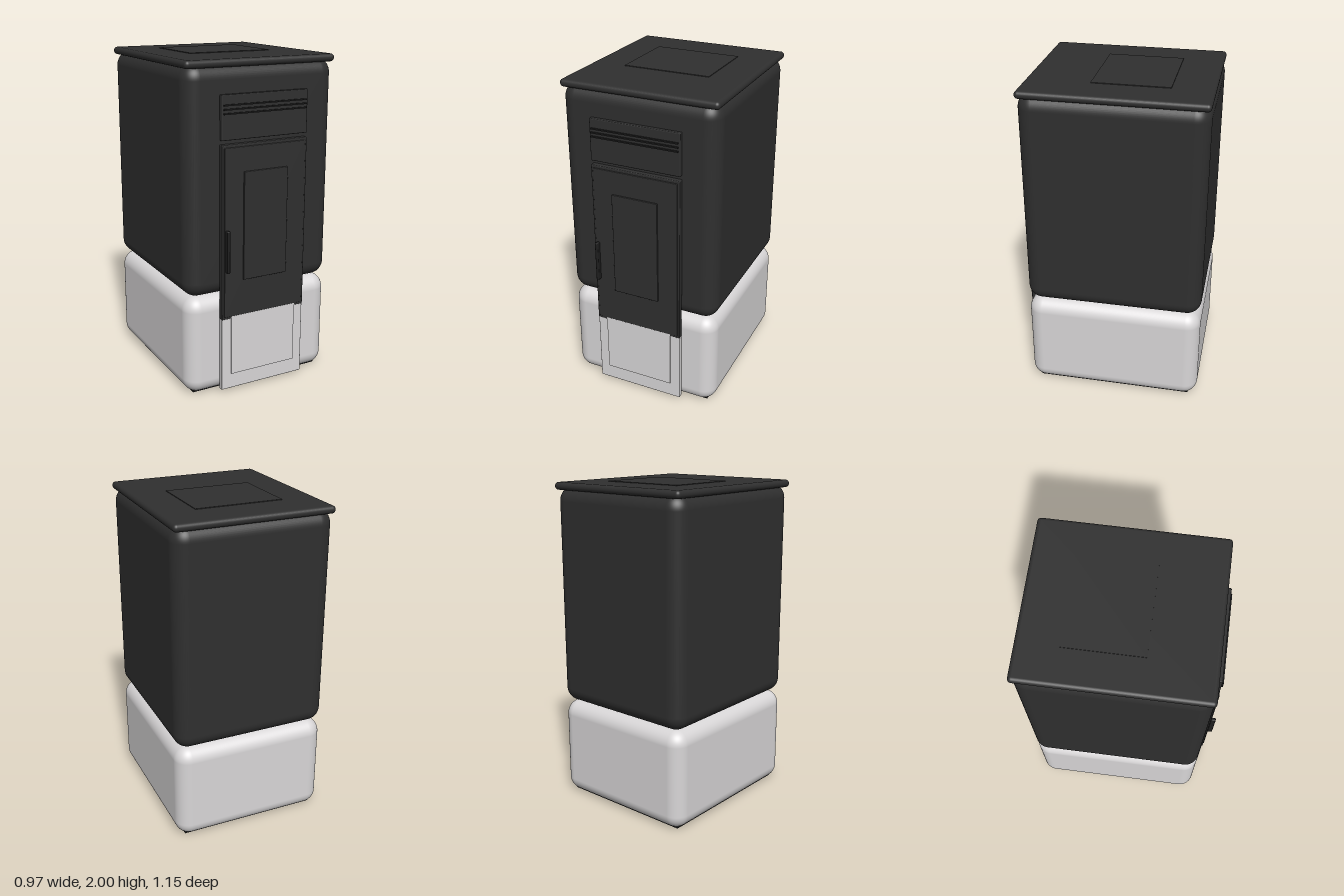
import * as THREE from 'three';
import { RoundedBoxGeometry } from 'three/addons/geometries/RoundedBoxGeometry.js';

const material = (name, color) => {
  const m = new THREE.MeshStandardMaterial({ color });
  m.name = name;
  return m;
};

export function createModel() {
  const group = new THREE.Group();
  group.name = 'pedestalStove';
  const charcoal = material('charcoal', 0x2f2f2f);
  const paleGrey = material('paleGrey', 0xd8d6d7);
  const black = material('black', 0x1e1e1e);

  // Adds a box given by its extents; a radius rounds all its edges
  function block(name, mat, [x0, x1], [y0, y1], [z0, z1], radius = 0, segments = 2) {
    const size = [x1 - x0, y1 - y0, z1 - z0];
    const geometry = radius
      ? new RoundedBoxGeometry(...size, segments, radius)
      : new THREE.BoxGeometry(...size);
    const mesh = new THREE.Mesh(geometry, mat);
    mesh.name = name;
    mesh.position.set((x0 + x1) / 2, (y0 + y1) / 2, (z0 + z1) / 2);
    group.add(mesh);
  }

  // Soft-edged body in two sections
  const width = [-0.487, 0.487], depth = [-0.577, 0.51];
  block('upperBody', charcoal, width, [0.62, 1.975], depth, 0.09, 8);
  block('lowerBody', paleGrey, width, [0, 0.62], depth, 0.09, 8);
  block('footPlate', black, [-0.435, 0.435], [0.001, 0.02], [-0.522, 0.455]);

  // Lid with a raised top plate
  block('lid', charcoal, width, [1.95, 1.996], depth, 0.0225, 5);
  block('lidPlate', charcoal, [-0.27, 0.266], [1.99, 2], [-0.333, 0.125]);

  // Vent panel with three slats
  const front = [-0.283, 0.28];
  block('ventPanel', charcoal, front, [1.55, 1.806], [0.512, 0.54], 0.005);
  for (const y of [1.7, 1.724, 1.748]) {
    block('ventSlat', black, [-0.272, 0.269], [y - 0.004, y + 0.004], [0.535, 0.549]);
  }

  // Main door: frame, leaf, centre panel and handle
  block('doorFrame', charcoal, front, [0.476, 1.526], [0.508, 0.544], 0.005);
  block('doorLeaf', charcoal, [-0.27, 0.267], [0.492, 1.51], [0.535, 0.55], 0.004);
  block('doorPanel', charcoal, [-0.147, 0.144], [0.714, 1.366], [0.545, 0.56], 0.003);
  block('doorHandle', black, [-0.265, -0.245], [0.775, 1.03], [0.545, 0.578], 0.006);

  // Lower drawer front with a raised panel
  block('drawerFrame', paleGrey, front, [0.018, 0.478], [0.508, 0.539], 0.004);
  block('drawerPanel', paleGrey, [-0.22, 0.217], [0.115, 0.492], [0.53, 0.547]);

  return group;
}
